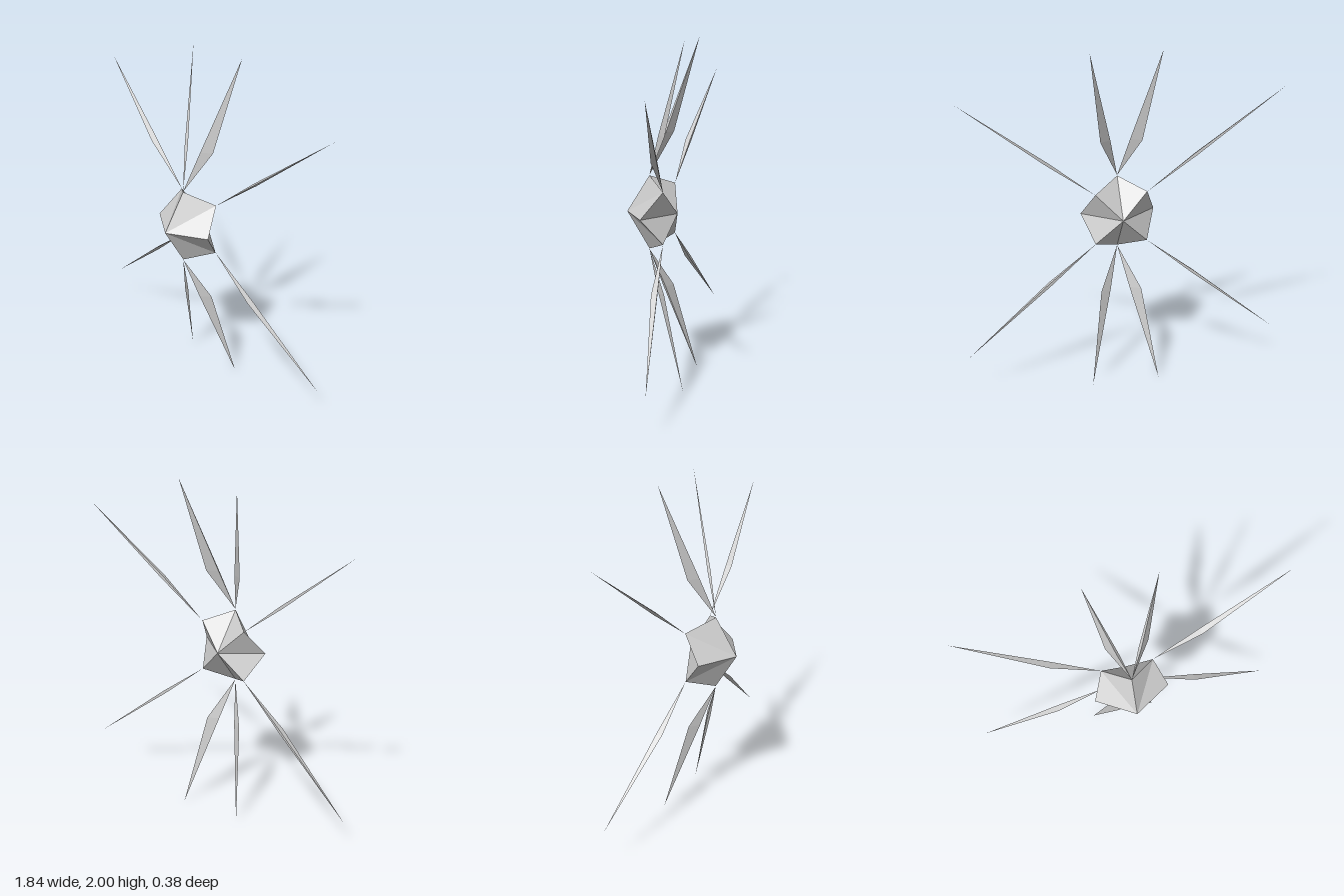
import * as THREE from 'three';
import { ConvexGeometry } from 'three/addons/geometries/ConvexGeometry.js';

const material = new THREE.MeshStandardMaterial({ color: 0xcccccc, flatShading: true });

// Faceted core: a zigzag ring of eight corners fanned to a front and a back point
function createCore() {
  const front = [0, 0, 0.19], back = [0, 0, -0.11];
  const corner = (i) => {
    const a = (i * Math.PI) / 4;
    const r = i % 2 ? 0.214 : 0.217;
    return [r * Math.cos(a), r * Math.sin(a), i % 2 ? -0.06 : 0.057];
  };
  const positions = [];
  for (let i = 0; i < 8; i++) {
    const p = corner(i), q = corner(i + 1);
    positions.push(...front, ...p, ...q, ...back, ...q, ...p);
  }
  const geometry = new THREE.BufferGeometry();
  geometry.setAttribute('position', new THREE.Float32BufferAttribute(positions, 3));
  geometry.computeVertexNormals();
  return new THREE.Mesh(geometry, material);
}

// Thin blade: a straight, slightly thickened spine with one widened edge point
function createSpike(base, edge, tip, along) {
  const spine = base.clone().lerp(tip, along);
  const normal = tip.clone().sub(base).cross(edge.clone().sub(spine)).normalize();
  const sideA = spine.clone().addScaledVector(normal, 0.009);
  const sideB = spine.clone().addScaledVector(normal, -0.009);
  return new THREE.Mesh(new ConvexGeometry([base, tip, edge, sideA, sideB]), material);
}

export function createModel() {
  const model = new THREE.Group();
  const core = createCore();
  core.name = 'core';
  model.add(core);

  // Spikes for one quadrant, repeated by mirroring in x and y
  const spikes = [
    { name: 'Steep', base: [0, 0.22, 0.057], edge: [0.12, 0.46, -0.06], tip: [0.2, 1, -0.19], along: 0.31 },
    { name: 'Diagonal', base: [0.15, 0.15, -0.06], edge: [0.43, 0.365, -0.06], tip: [0.92, 0.755, -0.155], along: 0.36 },
  ];
  for (const sx of [1, -1]) {
    for (const sy of [1, -1]) {
      const point = ([x, y, z]) => new THREE.Vector3(x * sx, y * sy, z);
      for (const s of spikes) {
        const spike = createSpike(point(s.base), point(s.edge), point(s.tip), s.along);
        spike.name = (sy > 0 ? 'upper' : 'lower') + (sx > 0 ? 'Left' : 'Right') + s.name + 'Spike';
        model.add(spike);
      }
    }
  }

  // Lift every part so the lowest tips stand on the ground
  for (const part of model.children) part.position.y = 1;
  return model;
}
